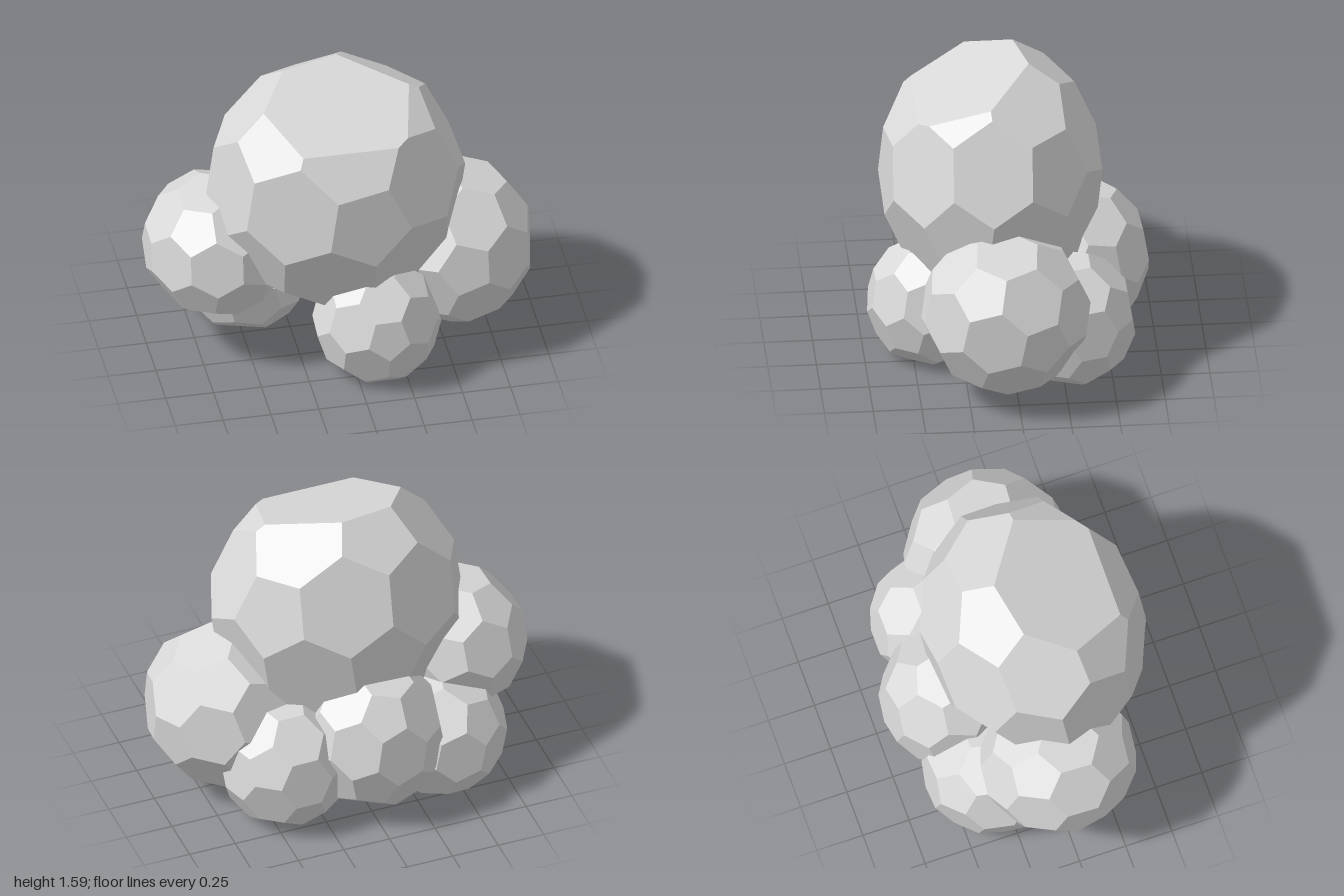
import * as THREE from 'three';
import { ConvexGeometry } from 'three/addons/geometries/ConvexGeometry.js';

const V = (a) => new THREE.Vector3(...a);

// Corners of a truncated icosahedron with one pentagon facing `pole`
// and a neighbouring pentagon turned towards `side`.
function facetPoints(pole, side) {
  const p = V(pole).normalize();
  const u = V(side).addScaledVector(p, -V(side).dot(p)).normalize();
  const w = new THREE.Vector3().crossVectors(p, u);
  const tips = [p.clone(), p.clone().negate()];
  const h = 1 / Math.sqrt(5);
  for (let i = 0; i < 5; i++) {
    const a = (i * Math.PI * 2) / 5;
    const t = p.clone().multiplyScalar(h)
      .addScaledVector(u, 2 * h * Math.cos(a)).addScaledVector(w, 2 * h * Math.sin(a));
    tips.push(t, t.clone().negate());
  }
  const points = [];
  for (const a of tips) for (const b of tips) {
    if (Math.abs(a.dot(b) - h) < 0.01) points.push(a.clone().lerp(b, 1 / 3).normalize());
  }
  return points;
}

// One boulder: fitted to its box, then sliced flat by planes (keep n.p <= d)
function boulderGeometry(centre, half, pole, side, cuts) {
  let pts = facetPoints(pole, side);
  const links = [];
  pts.forEach((a, i) => pts.forEach((b, j) => {
    if (i < j && a.distanceTo(b) < 0.45) links.push([a, b]);
  }));
  const box = new THREE.Box3().setFromPoints(pts);
  const mid = box.getCenter(new THREE.Vector3());
  const size = box.getSize(new THREE.Vector3()).multiplyScalar(0.5);
  pts.forEach((q) => q.sub(mid).divide(size).multiply(V(half)).add(V(centre)));
  for (const [n, d] of cuts) {
    const over = (q) => q.dot(V(n)) - d;
    const sliced = links.filter(([a, b]) => over(a) * over(b) < 0)
      .map(([a, b]) => a.clone().lerp(b, over(a) / (over(a) - over(b))));
    pts = pts.filter((q) => over(q) <= 0).concat(sliced);
  }
  return new ConvexGeometry(pts);
}

export function createModel() {
  const group = new THREE.Group();
  const stone = new THREE.MeshStandardMaterial({ color: 0xd8d8d8 });
  stone.name = 'paleGreyStone';

  const ground = [[0, -1, 0], 0];
  const slope = [[0, 0.94, 0.34], 1.458];

  // name, centre, half size, pentagon direction, neighbour direction, slices
  const boulders = [
    ['topBoulder', [-0.03, 0.95, 0.085], [0.67, 0.67, 0.565], [0.11, 0.08, 1], [0.14, -1, 0], [slope]],
    ['rightBoulder', [-0.64, 0.59, 0.01], [0.36, 0.365, 0.405], [-1, 0.02, 0], [0, 0.75, 0.66], []],
    ['leftBoulder', [0.59, 0.475, 0.055], [0.41, 0.435, 0.43], [0.7, 0.6, 0.35], [0.8, -0.3, 0.6], []],
    ['frontBoulder', [0.12, 0.285, 0.41], [0.325, 0.32, 0.32], [0.02, 0.2, 1], [0, -1, 0], [ground]],
    ['backRightBoulder', [-0.45, 0.26, -0.26], [0.355, 0.35, 0.37], [-0.4, 0.5, -0.7], [0.3, 0.9, 0], [ground]],
    ['backLeftBoulder', [0.395, 0.3, -0.285], [0.34, 0.34, 0.335], [0.5, 0.4, -0.7], [0, 1, 0], [ground]],
    ['backBoulder', [-0.06, 0.41, -0.375], [0.36, 0.4, 0.355], [0.1, 0.7, -0.7], [0.3, -0.6, -0.6], []],
  ];
  for (const [name, centre, half, pole, side, cuts] of boulders) {
    const mesh = new THREE.Mesh(boulderGeometry(centre, half, pole, side, cuts), stone);
    mesh.name = name;
    group.add(mesh);
  }
  return group;
}
